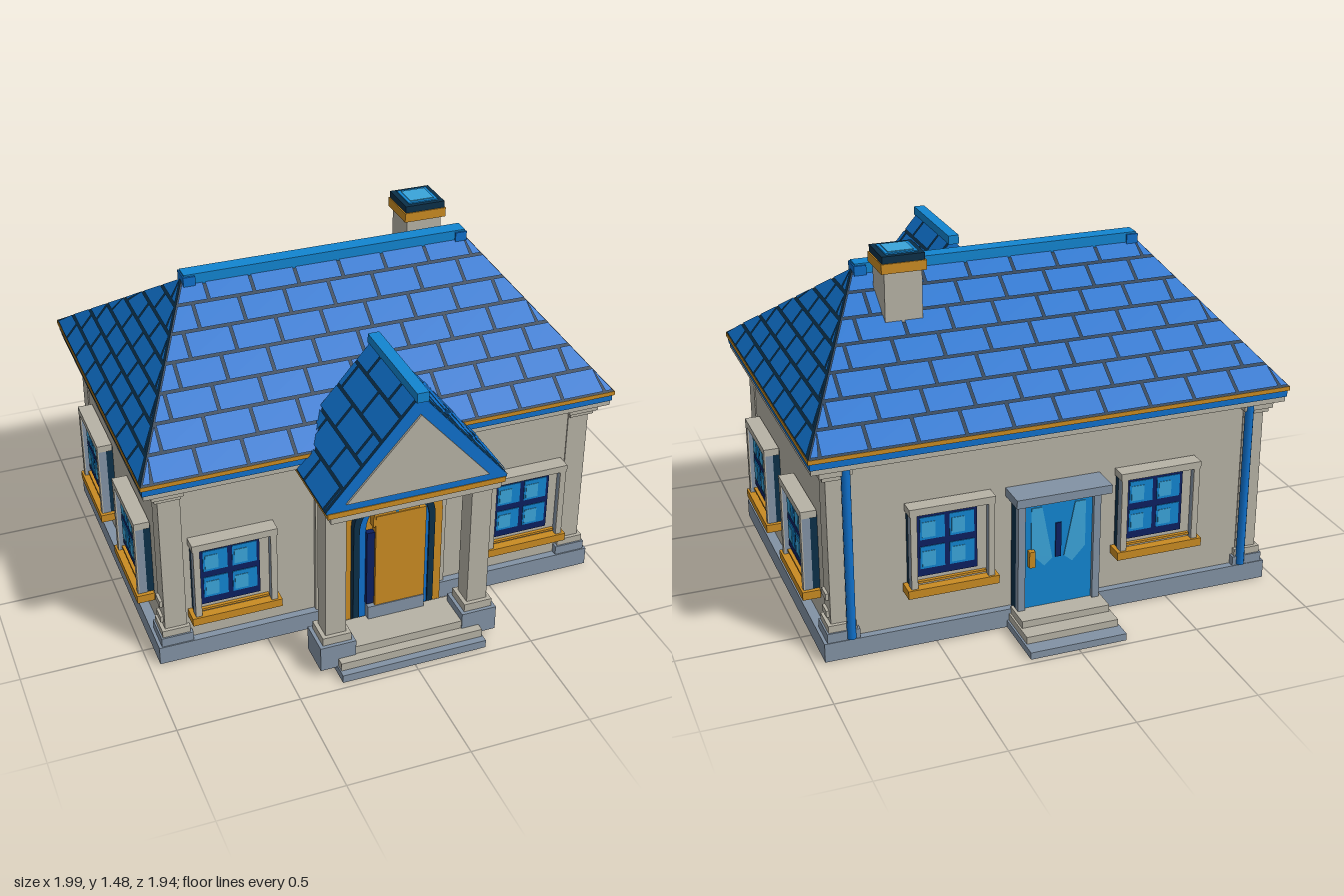
import * as THREE from 'three';

const mat = (name, color, opts = {}) => {
  const m = new THREE.MeshStandardMaterial({ color, ...opts });
  m.name = name;
  return m;
};

export function createModel() {
  const M = {
    wall: mat('warm stone', 0xb6b2a5),
    slate: mat('blue grey stone', 0x8292a4),
    gold: mat('ochre trim', 0xc98b22),
    roof: mat('roof blue', 0x0f70cb),
    ridge: mat('bright blue', 0x1285d0),
    dark: mat('dark teal', 0x0b2f48),
    navy: mat('navy', 0x0c1f60),
    pane: mat('light blue glass', 0x3aa4da),
  };
  const house = new THREE.Group();
  house.name = 'house';

  const group = (name, parent = house) => {
    const g = new THREE.Group();
    g.name = name;
    parent.add(g);
    return g;
  };
  const add = (name, geo, m, parent = house) => {
    const mesh = new THREE.Mesh(geo, m);
    mesh.name = name;
    parent.add(mesh);
    return mesh;
  };
  // Box given by its extents
  const box = (name, m, x0, x1, y0, y1, z0, z1, parent) => {
    const g = new THREE.BoxGeometry(x1 - x0, y1 - y0, z1 - z0);
    g.translate((x0 + x1) / 2, (y0 + y1) / 2, (z0 + z1) / 2);
    return add(name, g, m, parent);
  };
  const extrude = (name, m, shape, z0, z1, parent) => {
    const g = new THREE.ExtrudeGeometry(shape, { depth: z1 - z0, bevelEnabled: false, curveSegments: 16 });
    g.translate(0, 0, z0);
    return add(name, g, m, parent);
  };
  const polygon = (pts) => new THREE.Shape(pts.map(([x, y]) => new THREE.Vector2(x, y)));

  // Rows of staggered tiles on a slope; half(v) is the half width at height v (0..1)
  const slope = (base, along, up, half, rows, width, gap, lift) => {
    const b = new THREE.Vector3(...base), a = new THREE.Vector3(...along), u = new THREE.Vector3(...up);
    const n = a.clone().cross(u).normalize().multiplyScalar(lift);
    const gv = gap / u.length();
    const pos = [];
    const point = (s, v) => b.clone().add(n).addScaledVector(a, s).addScaledVector(u, v);
    for (let r = 0; r < rows; r++) {
      const v0 = r / rows + gv / 2, v1 = (r + 1) / rows - gv / 2;
      const h0 = half(v0) - gap / 2, h1 = Math.max(half(v1) - gap / 2, 0);
      const shift = ((r * 0.37) % 1) * width;
      for (let s = -Math.ceil(h0 / width + 1) * width + shift; s < h0; s += width) {
        const l = s + gap / 2, e = s + width - gap / 2;
        const c = (x, h) => Math.min(h, Math.max(-h, x));
        if (c(e, h0) - c(l, h0) < 0.004) continue;
        const q = [point(c(l, h0), v0), point(c(e, h0), v0), point(c(e, h1), v1), point(c(l, h1), v1)];
        for (const i of [0, 1, 2, 0, 2, 3]) pos.push(q[i].x, q[i].y, q[i].z);
      }
    }
    const g = new THREE.BufferGeometry();
    g.setAttribute('position', new THREE.Float32BufferAttribute(pos, 3));
    g.computeVertexNormals();
    return g;
  };
  // Dark underlay plus blue tiles
  const tiled = (parent, base, along, up, half, rows, width) => {
    add('roofUnderlay', slope(base, along, up, half, 1, 10, 0, 0), M.dark, parent);
    add('roofTiles', slope(base, along, up, half, rows, width, 0.012, 0.006), M.roof, parent);
  };

  // Foundation and walls
  box('foundation', M.slate, -0.955, 0.955, 0, 0.08, -0.715, 0.607);
  box('walls', M.wall, -0.915, 0.915, 0.08, 0.83, -0.685, 0.575);

  // Corner pilasters
  for (const sx of [-1, 1]) for (const [z, sz] of [[0.58, 1], [-0.69, -1]]) {
    const g = group('cornerPilaster');
    const b = (name, m, w, out, y0, y1) => box(name, m, -w, out, y0, y1, -w, out, g);
    b('pilasterShaft', M.wall, 0.09, 0, 0.08, 0.8);
    b('pilasterBase', M.slate, 0.11, 0.022, 0.08, 0.12);
    b('pilasterFoot', M.wall, 0.1, 0.015, 0.12, 0.15);
    b('pilasterNeck', M.wall, 0.09, 0.015, 0.765, 0.785);
    b('pilasterCapital', M.wall, 0.1, 0.028, 0.785, 0.812);
    b('pilasterBand', M.gold, 0.1, 0.03, 0.812, 0.822);
    for (const y of [0.17, 0.245]) box('quoin', M.wall, -0.01, 0.012, y, y + 0.028, -0.08, -0.02, g);
    g.scale.set(sx, 1, sz);
    g.position.set(sx * 0.92, 0, z);
  }

  // Eaves
  const roof = group('mainRoof');
  roof.position.z = -0.055;
  box('cornice', M.wall, -0.985, 0.985, 0.818, 0.84, -0.69, 0.69, roof);
  box('gutter', M.roof, -0.99, 0.99, 0.84, 0.868, -0.695, 0.695, roof);
  box('eaveTrim', M.gold, -0.997, 0.997, 0.868, 0.886, -0.702, 0.702, roof);

  // Hipped roof
  for (const turn of [0, Math.PI]) {
    const side = group('roofSide', roof);
    tiled(side, [0, 0.886, 0.7], [1, 0, 0], [0, 0.469, -0.7], (v) => 0.995 - 0.385 * v, 7, 0.19);
    tiled(side, [0.995, 0.886, 0], [0, 0, -1], [-0.385, 0.469, 0], (v) => 0.7 * (1 - v), 7, 0.17);
    side.rotation.y = turn;
  }
  box('ridgeCap', M.ridge, -0.61, 0.61, 1.335, 1.382, -0.033, 0.033, roof);
  for (const s of [-1, 1]) box('ridgeEnd', M.roof, s * 0.59 - 0.025, s * 0.59 + 0.025, 1.335, 1.375, -0.042, 0.042, roof);

  // Chimney
  const chimney = group('chimney');
  chimney.position.set(0.475, 0, -0.218);
  const stack = (name, m, r, y0, y1) => box(name, m, -r, r, y0, y1, -r, r, chimney);
  stack('chimneyShaft', M.wall, 0.077, 1, 1.405);
  stack('chimneyBand', M.gold, 0.092, 1.403, 1.443);
  stack('chimneyCap', M.dark, 0.087, 1.443, 1.472);
  stack('chimneyRim', M.ridge, 0.066, 1.472, 1.477);
  stack('chimneyTop', M.pane, 0.052, 1.477, 1.48);

  // Windows: local +z points out of the wall
  const makeWindow = (x, z, turn, lift = 0) => {
    const g = group('window');
    box('windowBacking', M.dark, -0.168, 0.168, 0.215, 0.55, -0.01, 0.028, g);
    box('windowPanel', M.wall, -0.16, 0.16, 0.22, 0.545, 0.028, 0.036, g);
    box('windowGlass', M.navy, -0.14, 0.105, 0.262, 0.545, 0.036, 0.042, g);
    for (const px of [-0.128, -0.008]) for (const py of [0.295, 0.42]) {
      box('pane', M.ridge, px, px + 0.1, py, py + 0.095, 0.042, 0.045, g);
      box('paneShine', M.pane, px + 0.008, px + 0.062, py + 0.01, py + 0.075, 0.045, 0.047, g);
    }
    for (const s of [-1, 1]) {
      box('jamb', M.slate, s * 0.158 - 0.013, s * 0.158 + 0.013, 0.22, 0.535, 0.026, 0.058, g);
      box('jambFace', M.wall, s * 0.158 - 0.013, s * 0.158 + 0.013, 0.22, 0.535, 0.058, 0.064, g);
    }
    box('lintel', M.wall, -0.175, 0.175, 0.535, 0.565, 0, 0.064, g);
    box('sillTrim', M.gold, -0.14, 0.14, 0.235, 0.245, 0.036, 0.05, g);
    box('sill', M.gold, -0.187, 0.187, 0.187, 0.222, 0, 0.073, g);
    g.position.set(x, lift, z);
    g.rotation.y = turn;
  };
  for (const s of [-1, 1]) {
    makeWindow(s * 0.635, 0.577, 0);
    makeWindow(s * 0.44, -0.69, Math.PI, 0.05);
    for (const z of [0.245, -0.355]) makeWindow(s * 0.918, z, s * Math.PI / 2);
    // Rear downpipes
    const pipe = new THREE.CylinderGeometry(0.018, 0.018, 0.74, 10);
    pipe.translate(s * 0.845, 0.455, -0.71);
    add('downpipe', pipe, M.roof);
  }

  // Porch steps and columns
  const porch = group('porch');
  box('lowerStep', M.slate, -0.31, 0.31, 0, 0.035, 0.72, 0.97, porch);
  box('middleStep', M.wall, -0.305, 0.305, 0.035, 0.07, 0.725, 0.94, porch);
  box('upperStep', M.wall, -0.25, 0.25, 0.07, 0.105, 0.73, 0.9, porch);
  for (const s of [-1, 1]) {
    const g = group('porchColumn', porch);
    g.position.set(s * 0.305, 0, 0.83);
    const b = (name, m, r, y0, y1) => box(name, m, -r, r, y0, y1, -r, r, g);
    b('plinth', M.slate, 0.075, 0.03, 0.14);
    b('columnFoot', M.wall, 0.06, 0.14, 0.175);
    b('columnShaft', M.wall, 0.043, 0.175, 0.76);
    box('wallPilaster', M.wall, s * 0.25 - 0.035, s * 0.25 + 0.035, 0.08, 0.8, 0.57, 0.595, porch);
  }

  // Porch roof
  box('porchBeam', M.wall, -0.35, 0.35, 0.755, 0.782, 0.5, 0.94, porch);
  box('porchTrim', M.gold, -0.365, 0.365, 0.782, 0.805, 0.495, 0.945, porch);
  extrude('porchGable', M.roof, polygon([[-0.37, 0.803], [0.37, 0.803], [0.37, 0.815], [0, 1.245], [-0.37, 0.815]]), 0.487, 0.942, porch);
  extrude('pediment', M.wall, polygon([[-0.292, 0.837], [0.292, 0.837], [0, 1.165]]), 0.478, 0.951, porch);
  for (const s of [-1, 1])
    tiled(porch, [s * 0.375, 0.812, 0.715], [0, 0, -s], [-s * 0.375, 0.436, 0], () => 0.229, 5, 0.21);
  box('porchRidge', M.ridge, -0.024, 0.024, 1.225, 1.265, 0.476, 0.96, porch);

  // Arched front doorway
  const arch = (r, bottom, top) => {
    const s = new THREE.Shape();
    s.moveTo(-r, bottom);
    s.lineTo(r, bottom);
    s.lineTo(r, top - r);
    s.absarc(0, top - r, r, 0, Math.PI, false);
    s.lineTo(-r, bottom);
    return s;
  };
  const ring = (ro, to, ri, ti) => {
    const s = arch(ro, 0.08, to);
    s.holes.push(arch(ri, 0.085, ti));
    return s;
  };
  const door = group('frontDoor');
  extrude('doorSurround', M.gold, ring(0.22, 0.752, 0.17, 0.702), 0.65, 0.7, door);
  extrude('doorArch', M.dark, ring(0.175, 0.712, 0.15, 0.675), 0.655, 0.73, door);
  extrude('doorLining', M.roof, ring(0.16, 0.69, 0.12, 0.65), 0.66, 0.722, door);
  extrude('doorBack', M.gold, arch(0.13, 0.085, 0.66), 0.665, 0.715, door);
  box('doorLeaf', M.gold, -0.09, 0.125, 0.1, 0.6, 0.7, 0.752, door);
  extrude('fanlight', M.gold, arch(0.1, 0.55, 0.675), 0.7, 0.748, door);
  box('fanBar', M.ridge, -0.006, 0.006, 0.605, 0.665, 0.748, 0.752, door);
  box('doorShadowGap', M.navy, -0.122, -0.09, 0.17, 0.52, 0.715, 0.74, door);
  box('kickPlate', M.slate, -0.12, 0.125, 0.1, 0.165, 0.7, 0.756, door);

  // Back door and steps
  const back = group('backDoor');
  box('backDoorFrame', M.dark, -0.175, 0.175, 0.08, 0.575, -0.735, -0.68, back);
  for (const s of [-1, 1]) box('backDoorJamb', M.slate, s * 0.16 - 0.015, s * 0.16 + 0.015, 0.09, 0.57, -0.762, -0.735, back);
  box('backDoorLeaf', M.ridge, -0.145, 0.145, 0.09, 0.57, -0.745, -0.735, back);
  for (const s of [-1, 1]) {
    const shine = polygon([[0.025, 0.3], [0.06, 0.27], [0.115, 0.33], [0.115, 0.53], [0.07, 0.53]].map(([x, y]) => [x * s, y]));
    extrude('backDoorGlass', M.pane, shine, -0.749, -0.744, back);
  }
  box('backDoorSlot', M.navy, -0.012, 0.012, 0.3, 0.45, -0.75, -0.745, back);
  box('backDoorHandle', M.gold, 0.105, 0.13, 0.28, 0.35, -0.77, -0.745, back);
  box('backDoorLintel', M.slate, -0.2, 0.2, 0.572, 0.608, -0.81, -0.685, back);
  [[M.slate, 0.975], [M.wall, 0.91], [M.wall, 0.84]].forEach(([m, z], i) =>
    box('backStep', m, -0.203 + i * 0.008, 0.203 - i * 0.008, i * 0.03, (i + 1) * 0.03, -z, -0.71, back));

  return house;
}
